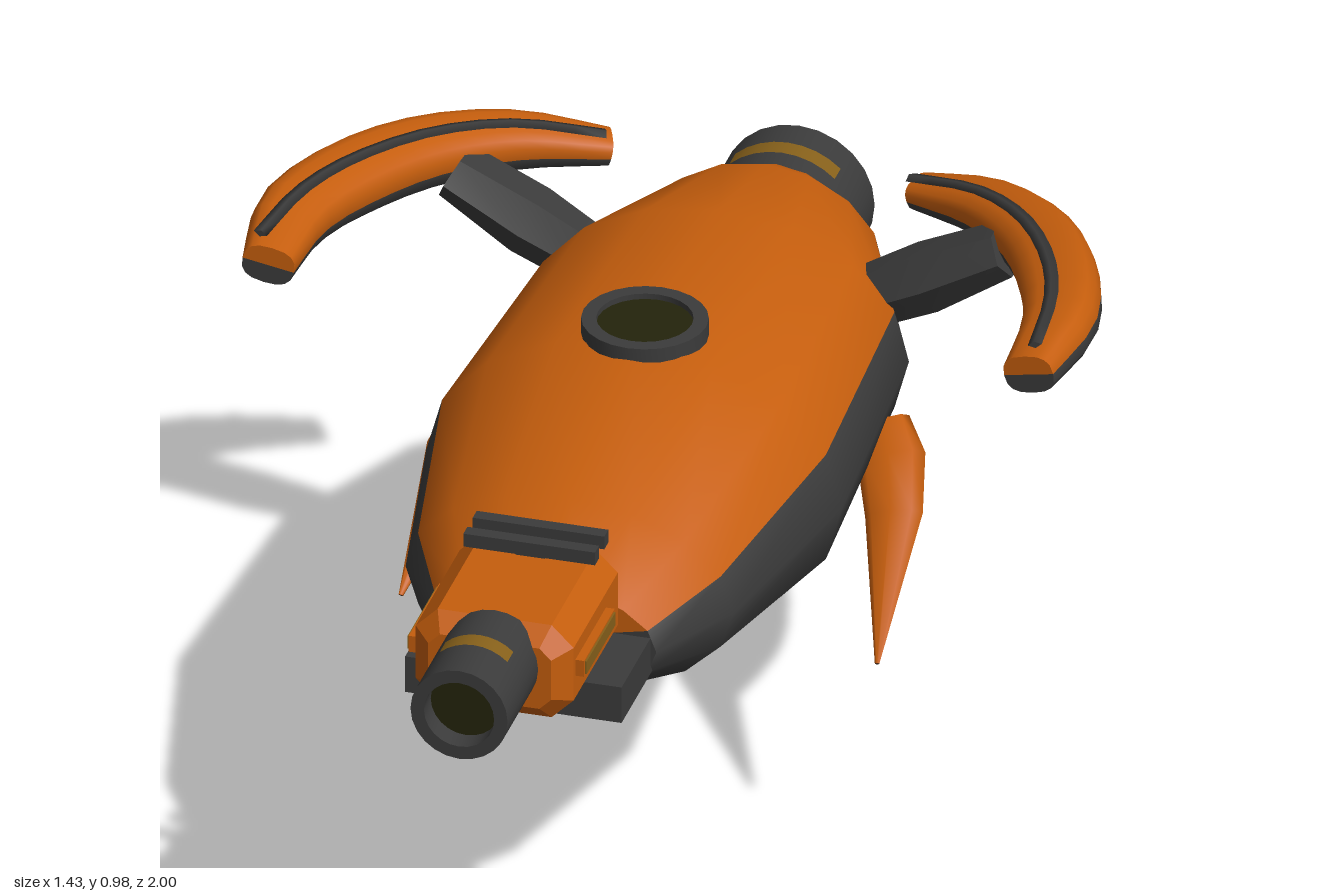
import * as THREE from 'three';
import { toCreasedNormals } from 'three/addons/utils/BufferGeometryUtils.js';

const mat = (name, color) => Object.assign(new THREE.MeshStandardMaterial({ color }), { name });

// Skin n-sided sections [x, y, z, halfWidth, halfHeight]; group 0 is the upper half, group 1 the lower.
// "across" is the width direction; the first upper side is "from", the last is "to".
function loft(sections, across, n, from, to, power = 1) {
  const pos = [], upper = [], lower = [];
  const centre = sections.map((s) => new THREE.Vector3(s[0], s[1], s[2]));
  const rings = sections.map((s, i) => {
    const d = centre[Math.min(i + 1, centre.length - 1)].clone().sub(centre[Math.max(i - 1, 0)]).normalize();
    const u = (typeof across === 'function' ? across(d) : across.clone());
    u.addScaledVector(d, -u.dot(d)).normalize();
    const v = d.clone().cross(u);
    return Array.from({ length: n }, (_, j) => {
      const a = (j / n) * Math.PI * 2, c = Math.cos(a), k = Math.sin(a);
      return centre[i].clone()
        .addScaledVector(u, s[3] * Math.sign(c) * Math.abs(c) ** power)
        .addScaledVector(v, s[4] * Math.sign(k) * Math.abs(k) ** power);
    });
  });
  const add = (p) => pos.push(p.x, p.y, p.z) / 3 - 1;
  const side = (j) => (j >= from && j < to ? upper : lower);
  const ids = rings.map((r) => r.map(add));
  for (let i = 0; i < ids.length - 1; i++) {
    for (let j = 0; j < n; j++) {
      const k = (j + 1) % n, a = ids[i], b = ids[i + 1];
      side(j).push(a[j], a[k], b[j], a[k], b[k], b[j]);
    }
  }
  // Flat end caps
  for (const e of [0, rings.length - 1]) {
    const ring = rings[e].map(add), m = add(centre[e]);
    for (let j = 0; j < n; j++) {
      const k = (j + 1) % n;
      side(j).push(m, ...(e ? [ring[j], ring[k]] : [ring[k], ring[j]]));
    }
  }
  const g = new THREE.BufferGeometry();
  g.setAttribute('position', new THREE.Float32BufferAttribute(pos, 3));
  g.setIndex([...upper, ...lower]);
  g.addGroup(0, upper.length, 0);
  g.addGroup(upper.length, lower.length, 1);
  g.computeVertexNormals();
  return g;
}

// Mirror an indexed geometry across x and restore its winding
function mirrored(geometry) {
  const g = geometry.clone().scale(-1, 1, 1), ix = g.index;
  for (let i = 0; i < ix.count; i += 3) {
    const b = ix.getX(i + 1);
    ix.setX(i + 1, ix.getX(i + 2));
    ix.setX(i + 2, b);
  }
  return g;
}

// Resample a row of sections along smooth curves
function smoothSections(rows, count) {
  const path = new THREE.CatmullRomCurve3(rows.map((r) => new THREE.Vector3(r[0], r[1], r[2])));
  const size = new THREE.CatmullRomCurve3(rows.map((r) => new THREE.Vector3(r[3], r[4], 0)));
  return Array.from({ length: count + 1 }, (_, i) => {
    const p = path.getPoint(i / count), s = size.getPoint(i / count);
    return [p.x, p.y, p.z, s.x, s.y];
  });
}

export function createModel() {
  const root = new THREE.Group();
  root.name = 'craft';
  const orange = mat('orange shell', 0xc65e0d);
  const dark = mat('dark grey metal', 0x3b3b3b);
  const gold = mat('dull gold', 0x86601a);
  const glass = mat('dark olive glass', 0x24240c);
  const twoTone = [orange, dark];

  const add = (name, geometry, material, x = 0, y = 0, z = 0, parent = root) => {
    const m = new THREE.Mesh(geometry, material);
    m.name = name;
    m.position.set(x, y, z);
    parent.add(m);
    return m;
  };
  const pair = (name, geometry, material) => {
    add(name + 'Left', geometry, material);
    add(name + 'Right', mirrored(geometry), material);
  };
  const X = new THREE.Vector3(1, 0, 0);

  // Hull: elliptical sections from tail to nose, orange above and dark below
  const hull = [
    [0, 0.667, -0.88, 0.125, 0.125], [0, 0.665, -0.81, 0.2, 0.165], [0, 0.66, -0.53, 0.325, 0.235],
    [0, 0.66, -0.03, 0.355, 0.257], [0, 0.66, 0.35, 0.28, 0.173], [0, 0.66, 0.51, 0.195, 0.1],
  ];
  add('hull', loft(hull, X, 16, 1, 7), twoTone);

  // Open tube with a recessed disc, pointing along +y
  const tube = (name, ro, ri, h, depth, inside) => {
    const g = new THREE.Group();
    g.name = name;
    const profile = [[0, 0], [ro, 0], [ro, h], [ri, h], [ri, h - depth]].map((p) => new THREE.Vector2(...p));
    add(name + 'Shell', toCreasedNormals(new THREE.LatheGeometry(profile, 24), 0.6), dark, 0, 0, 0, g);
    add(name + 'Disc', new THREE.CircleGeometry(ri, 24).rotateX(-Math.PI / 2), inside, 0, h - depth, 0, g);
    root.add(g);
    return g;
  };
  const marks = (group, r, y) => {
    for (const a of [0, Math.PI]) {
      add('goldMark', new THREE.CylinderGeometry(r, r, 0.035, 8, 1, true, a - 0.75, 1.5), gold, 0, y, 0, group);
    }
  };

  // Front barrel, rear nozzle and top hatch
  const barrel = tube('barrel', 0.083, 0.06, 0.21, 0.04, glass);
  barrel.position.set(0, 0.78, 0.79);
  barrel.rotation.x = Math.PI / 2;
  marks(barrel, 0.085, 0.107);
  const nozzle = tube('nozzle', 0.13, 0.095, 0.16, 0.03, gold);
  nozzle.position.set(0, 0.667, -0.84);
  nozzle.rotation.x = -Math.PI / 2;
  marks(nozzle, 0.132, 0.08);
  tube('hatch', 0.105, 0.08, 0.06, 0.01, glass).position.set(0, 0.87, -0.095);

  // Chamfered housing behind the barrel
  const w = 0.105, h = 0.057, c = 0.02;
  const outline = new THREE.Shape([
    [-w + c, -h], [w - c, -h], [w, -h + c], [w, h - c], [w - c, h], [-w + c, h], [-w, h - c], [-w, -h + c],
  ].map((p) => new THREE.Vector2(...p)));
  add('barrelHousing', new THREE.ExtrudeGeometry(outline, {
    depth: 0.26, bevelThickness: 0.03, bevelSize: 0.03, bevelSegments: 1,
  }), orange, 0, 0.763, 0.53);
  for (const s of [1, -1]) {
    add('housingSideBlock', new THREE.BoxGeometry(0.02, 0.03, 0.18), orange, s * 0.14, 0.77, 0.69);
    add('housingSidePanel', new THREE.BoxGeometry(0.006, 0.024, 0.17), gold, s * 0.15, 0.77, 0.69);
  }
  for (const z of [0.52, 0.575]) {
    add('housingRail', new THREE.BoxGeometry(0.225, 0.024, 0.024), dark, 0, 0.866, z);
    add('railFoot', new THREE.BoxGeometry(0.05, 0.03, 0.015), dark, 0, 0.845, z);
  }
  add('chinBlock', new THREE.BoxGeometry(0.37, 0.067, 0.29), dark, 0, 0.652, 0.535);

  // Crescent side wings, tilted up at the outer edge
  const tilt = (d) => new THREE.Vector3(d.z, 0, -d.x).normalize().setY(0.22);
  const wing = smoothSections([
    [0.265, 0.828, -0.795, 0.033, 0.026], [0.4, 0.858, -0.725, 0.052, 0.04], [0.515, 0.883, -0.61, 0.063, 0.047],
    [0.6, 0.903, -0.46, 0.067, 0.05], [0.655, 0.917, -0.28, 0.062, 0.046], [0.65, 0.915, -0.115, 0.044, 0.034],
  ], 14);
  pair('crescentWing', loft(wing, tilt, 16, 0, 8, 0.75), twoTone);

  // Thin strip along the top of each wing
  const strip = smoothSections([
    [0.26, 0.872, -0.76], [0.39, 0.907, -0.695], [0.5, 0.935, -0.585],
    [0.59, 0.957, -0.43], [0.64, 0.97, -0.28], [0.662, 0.976, -0.11],
  ].map((p) => [...p, 0.012, 0.006]), 14);
  pair('wingStrip', loft(strip, tilt, 4, 0, 0), twoTone);

  // Six-sided struts joining wings to hull
  const strut = [[0.25, 0.745, -0.585, 0.05, 0.055], [0.34, 0.79, -0.59, 0.062, 0.06], [0.47, 0.858, -0.6, 0.062, 0.045]];
  const strutGeometry = toCreasedNormals(loft(strut, new THREE.Vector3(0, 0, -1), 6, 0, 0), 0.5);
  strutGeometry.setIndex([...Array(strutGeometry.attributes.position.count).keys()]);
  pair('wingStrut', strutGeometry, twoTone);

  // Forward-swept side fins
  const fin = [
    [0.315, 0.6, -0.43, 0.04, 0.012], [0.345, 0.57, -0.36, 0.058, 0.022],
    [0.375, 0.52, -0.27, 0.05, 0.02], [0.407, 0.36, -0.06, 0.004, 0.003],
  ];
  pair('sideFin', loft(fin, new THREE.Vector3(1, 0.2, 0), 8, 0, 4), twoTone);

  // Keel fin sweeping down and back to a point
  const keel = [
    [0, 0.5, -0.41, 0.08, 0.035], [0, 0.42, -0.5, 0.073, 0.036],
    [0, 0.268, -0.7, 0.055, 0.028], [0, 0.004, -0.99, 0.003, 0.003],
  ];
  add('keelFin', loft(keel, new THREE.Vector3(-1, 0, 0), 8, 0, 4), twoTone);

  return root;
}
